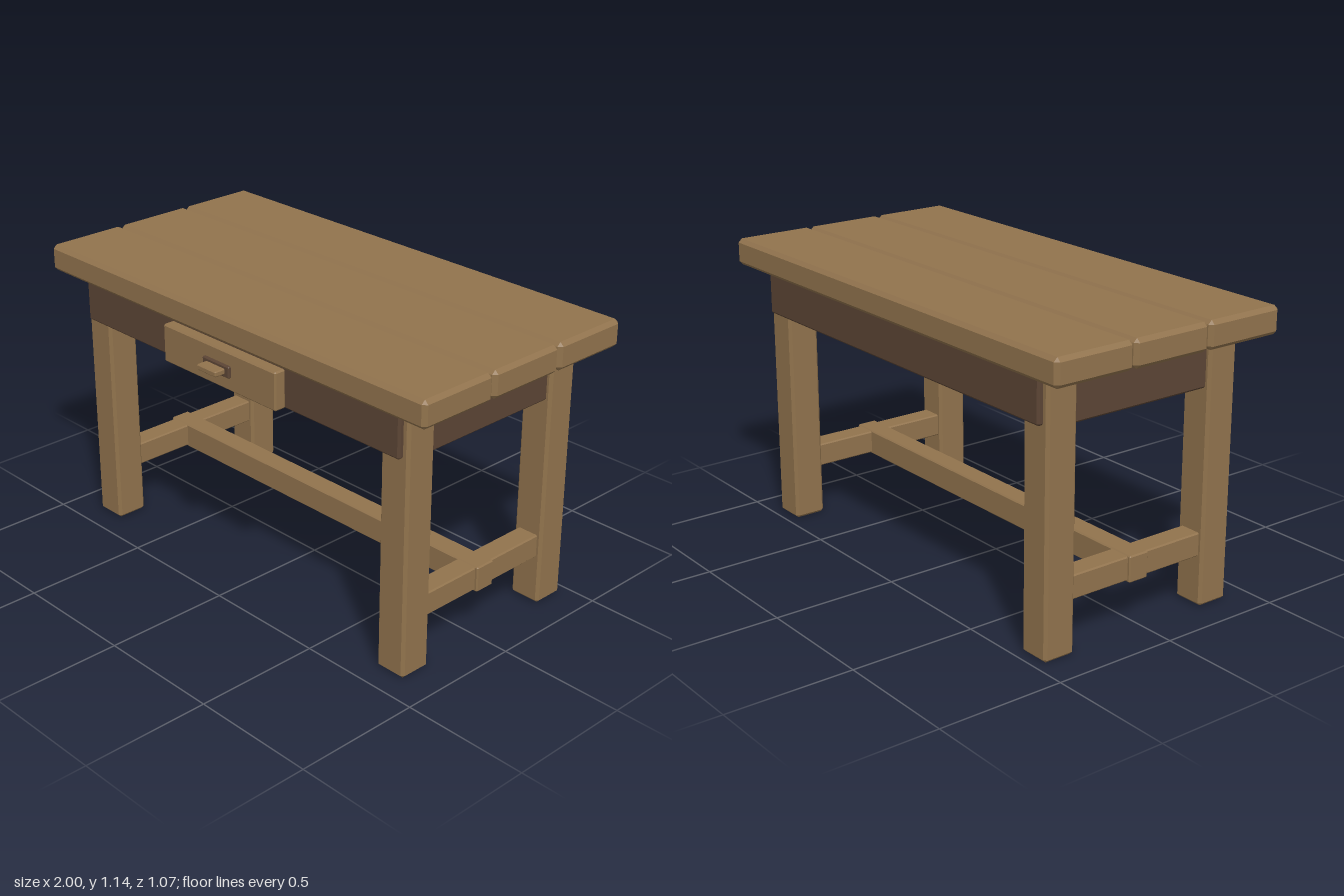
import * as THREE from 'three';
import { ConvexGeometry } from 'three/addons/geometries/ConvexGeometry.js';

// Box with chamfered edges, spanning the given ranges
function chamferBox([x0, x1], [y0, y1], [z0, z1], c) {
  const h = [(x1 - x0) / 2, (y1 - y0) / 2, (z1 - z0) / 2];
  const points = [];
  for (const sx of [-1, 1]) for (const sy of [-1, 1]) for (const sz of [-1, 1]) {
    for (let full = 0; full < 3; full++) {
      const p = [sx, sy, sz].map((s, i) => s * (i === full ? h[i] : h[i] - c));
      points.push(new THREE.Vector3(...p));
    }
  }
  const geometry = new ConvexGeometry(points);
  geometry.translate((x0 + x1) / 2, (y0 + y1) / 2, (z0 + z1) / 2);
  return geometry;
}

export function createModel() {
  const table = new THREE.Group();
  table.name = 'table';
  const wood = new THREE.MeshStandardMaterial({ color: 0x91734d });
  wood.name = 'light wood';
  const darkWood = new THREE.MeshStandardMaterial({ color: 0x5c4535 });
  darkWood.name = 'dark wood';

  function add(name, material, x, y, z, chamfer) {
    const mesh = new THREE.Mesh(chamferBox(x, y, z, chamfer), material);
    mesh.name = name;
    table.add(mesh);
  }
  const mirrored = (side, a, b) => (side > 0 ? [a, b] : [-b, -a]);

  // Three-plank top
  for (const z of [-0.533, -0.198, 0.138]) {
    add('topPlank', wood, [-1, 1], [1.037, 1.143], [z, z + 0.331], 0.015);
  }

  // Legs, side aprons and side stretchers
  for (const side of [-1, 1]) {
    const legX = mirrored(side, 0.74, 0.87);
    const railX = mirrored(side, 0.76, 0.85);
    add('frontLeg', wood, legX, [0, 1.04], [0.27, 0.4], 0.011);
    add('backLeg', wood, legX, [0, 1.04], [-0.46, -0.33], 0.011);
    add('sideApron', darkWood, railX, [0.84, 1.048], [-0.36, 0.3], 0.008);
    add('sideStretcher', wood, railX, [0.196, 0.289], [-0.36, 0.3], 0.005);
  }

  // Long stretcher, its ends just proud of the side stretchers
  add('longStretcher', wood, [-0.862, 0.862], [0.19, 0.293], [-0.073, 0.013], 0.005);

  // Front and back aprons
  add('frontApron', darkWood, [-0.845, 0.845], [0.86, 1.046], [0.33, 0.42], 0.008);
  add('backApron', darkWood, [-0.845, 0.845], [0.86, 1.046], [-0.48, -0.39], 0.008);

  // Drawer front with handle
  add('drawerFront', wood, [-0.305, 0.305], [0.87, 1.02], [0.427, 0.477], 0.006);
  add('handlePlate', darkWood, [-0.072, 0.072], [0.923, 0.969], [0.472, 0.489], 0.004);
  add('handleGrip', wood, [-0.051, 0.051], [0.935, 0.957], [0.485, 0.533], 0.004);

  return table;
}
